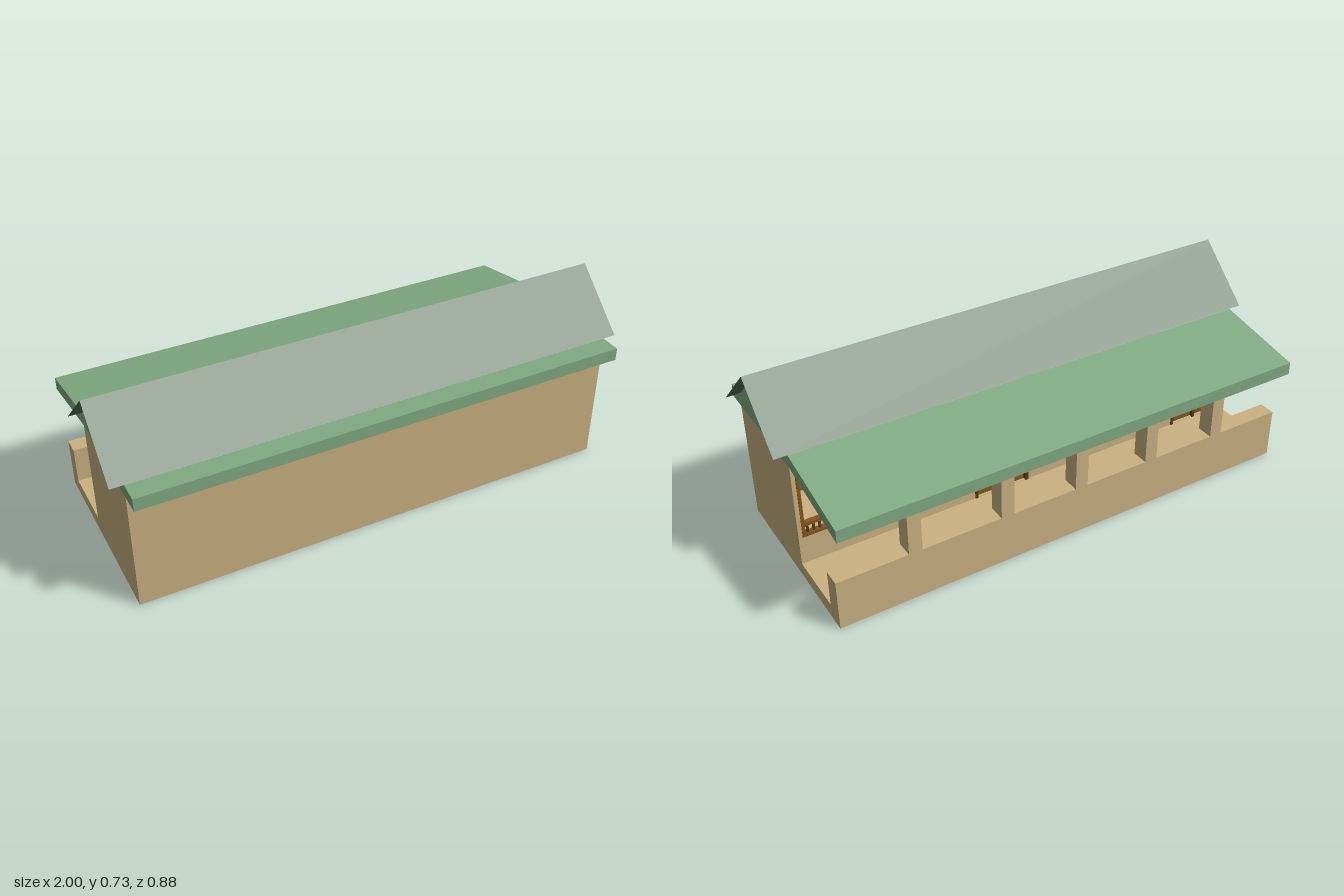
import * as THREE from 'three';

const mat = (name, color, side = THREE.FrontSide) => {
  const m = new THREE.MeshStandardMaterial({ color, side });
  m.name = name;
  return m;
};

export function createModel() {
  const group = new THREE.Group();
  const wall = mat('tan plaster', 0xc9b182);
  const green = mat('light green roof', 0x80aa82);
  const sheet = mat('dark green sheet', 0x566e57, THREE.DoubleSide);
  const wood = mat('brown wood', 0x83571e);
  const darkWood = mat('dark wood', 0x5a3b14);

  const add = (name, geometry, material, parent = group) => {
    const mesh = new THREE.Mesh(geometry, material);
    mesh.name = name;
    parent.add(mesh);
    return mesh;
  };
  // Box given by its minimum and maximum along each axis
  const box = (name, [x0, x1], [y0, y1], [z0, z1], material, parent) => {
    const mesh = add(name, new THREE.BoxGeometry(x1 - x0, y1 - y0, z1 - z0), material, parent);
    mesh.position.set((x0 + x1) / 2, (y0 + y1) / 2, (z0 + z1) / 2);
    return mesh;
  };

  const HX = 0.95, FLOOR = 0.055, TOP = 0.475, T = 0.03;
  const FRONT = 0.363, BACK = -0.077, EDGE = -0.387;

  // Floor slab and plain walls
  box('floorSlab', [-HX, HX], [0, FLOOR], [EDGE, FRONT], wall);
  box('frontWall', [-HX, HX], [FLOOR, TOP], [FRONT - T, FRONT], wall);
  for (const s of [-1, 1]) {
    const xs = s > 0 ? [HX - T, HX] : [-HX, -HX + T];
    box('endWall', xs, [FLOOR, TOP], [BACK + T, FRONT - T], wall);
  }
  box('partitionWall', [-0.035, -0.005], [FLOOR, TOP], [BACK + T, FRONT - T], wall);

  // Veranda wall with door and window openings
  const doors = [[-0.925, -0.69], [0.01, 0.245]];
  const windows = [[-0.645, -0.365], [-0.33, -0.08], [0.3, 0.61], [0.705, 0.935]];
  const SILL = 0.17, HEAD = 0.43;
  const wallShape = new THREE.Shape([
    [-HX, FLOOR], [HX, FLOOR], [HX, TOP], [-HX, TOP],
  ].map(p => new THREE.Vector2(...p)));
  const cut = ([a, b], y0, y1) => wallShape.holes.push(new THREE.Path([
    [a, y0], [a, y1], [b, y1], [b, y0],
  ].map(p => new THREE.Vector2(...p))));
  doors.forEach(d => cut(d, FLOOR + 0.002, HEAD));
  windows.forEach(w => cut(w, SILL, HEAD));
  add('verandaWall', new THREE.ExtrudeGeometry(wallShape, { depth: T, bevelEnabled: false }), wall)
    .position.z = BACK;

  // Double doors with recessed-looking panels and knobs
  for (const [a, b] of doors) {
    const door = new THREE.Group();
    door.name = 'doubleDoor';
    group.add(door);
    const mid = (a + b) / 2;
    box('doorBacking', [a, b], [FLOOR, HEAD], [BACK + 0.01, BACK + 0.022], wood, door);
    box('doorHead', [a, b], [HEAD - 0.015, HEAD], [BACK - 0.004, BACK + 0.01], wood, door);
    for (const x of [a, mid - 0.006, b - 0.012]) {
      box('doorStile', [x, x + 0.012], [FLOOR, HEAD], [BACK - 0.004, BACK + 0.01], darkWood, door);
    }
    for (const [l, r] of [[a + 0.025, mid - 0.018], [mid + 0.018, b - 0.025]]) {
      for (const ys of [[0.08, 0.2], [0.225, 0.395]]) {
        box('doorPanel', [l, r], ys, [BACK + 0.006, BACK + 0.01], darkWood, door);
      }
    }
    for (const s of [-1, 1]) {
      add('doorKnob', new THREE.SphereGeometry(0.005, 8, 6), darkWood, door)
        .position.set(mid + s * 0.013, 0.215, BACK);
    }
  }

  // Open windows: frame, mullion and barred strips above and below
  for (const [a, b] of windows) {
    const win = new THREE.Group();
    win.name = 'window';
    group.add(win);
    const zs = [BACK - 0.003, BACK + 0.018], F = 0.012;
    for (const y of [SILL, 0.215, 0.37, HEAD - F]) {
      box('windowRail', [a, b], [y, y + F], zs, wood, win);
    }
    for (const x of [a, (a + b - F) / 2, b - F]) {
      box('windowStile', [x, x + F], [SILL, HEAD], zs, wood, win);
    }
    const n = Math.round((b - a) / 0.022);
    for (let i = 1; i < n; i++) {
      const x = a + (b - a) * i / n;
      for (const ys of [[SILL + F, 0.215], [0.382, HEAD - F]]) {
        box('windowBar', [x - 0.004, x + 0.004], ys, [BACK + 0.002, BACK + 0.01], darkWood, win);
      }
    }
  }

  // Veranda parapet and posts
  box('parapet', [-HX, HX], [FLOOR, 0.2], [EDGE, -0.32], wall);
  for (const x of [-0.654, -0.34, -0.025, 0.289, 0.654]) {
    box('verandaPost', [x - 0.026, x + 0.026], [0.2, 0.44], [EDGE, -0.32], wall);
  }

  // Roof body: front eave, gable and sloping veranda roof in one section
  const section = new THREE.Shape([
    [0.443, 0.475], [0.443, 0.525], [FRONT, 0.525], [0.143, 0.728],
    [BACK, 0.525], [-0.441, 0.457], [-0.441, 0.407], [BACK, 0.475],
  ].map(p => new THREE.Vector2(...p)));
  const roof = new THREE.ExtrudeGeometry(section, { depth: HX * 2, bevelEnabled: false });
  roof.translate(0, 0, -HX).rotateY(-Math.PI / 2);
  add('roofBody', roof, green);

  // Thin dark sheets over the gable, overhanging both ends
  for (const s of [-1, 1]) {
    const run = 0.222, drop = 0.204;
    const slope = new THREE.PlaneGeometry(2, Math.hypot(run, drop));
    slope.rotateX(-Math.PI / 2).rotateX(s * Math.atan2(drop, run));
    add('roofSheet', slope, sheet).position.set(0, 0.731 - drop / 2, 0.143 + s * run / 2);
  }
  return group;
}
